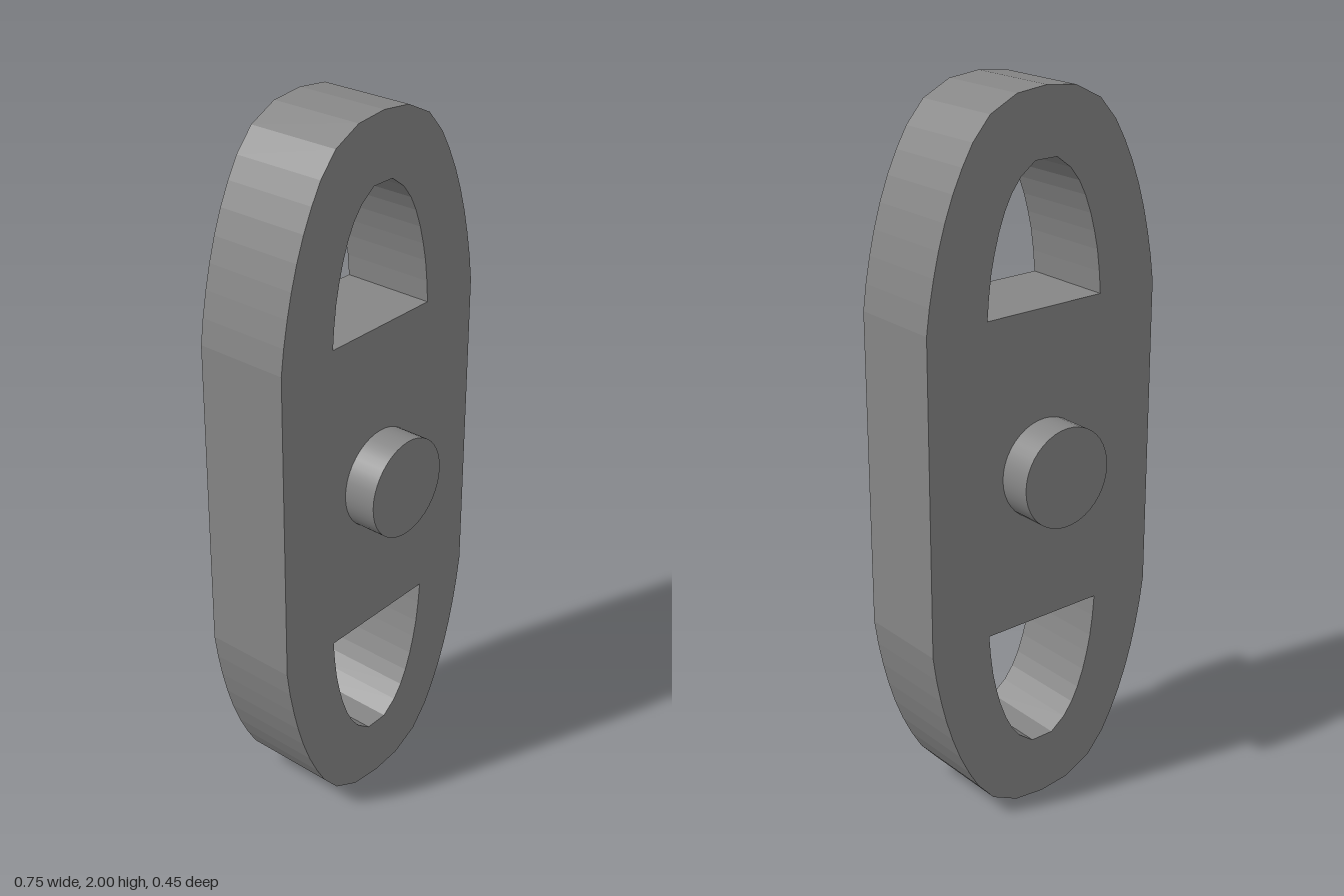
import * as THREE from 'three';

const HALF_DEPTH = 0.133;
const PIN_RADIUS = 0.139;
const PIN_END = 0.226;
const GREY = 0x868686;

// Right half of the arched ends, as [x, height above the middle]
const outerArc = [
  [0.374, 0.44], [0.364, 0.51], [0.35, 0.58], [0.334, 0.645], [0.314, 0.71],
  [0.289, 0.775], [0.26, 0.835], [0.228, 0.89], [0.175, 0.95], [0.093, 0.99],
];
const holeArc = [
  [0.187, 0.44], [0.182, 0.5], [0.174, 0.56], [0.163, 0.61], [0.149, 0.66],
  [0.13, 0.71], [0.109, 0.75], [0.08, 0.787], [0.035, 0.82],
];

const mirrorX = (arc) => arc.map(([x, y]) => [-x, y]).reverse();
const flipY = (points) => points.map(([x, y]) => [-x, -y]);
const toVectors = (points) => points.map(([x, y]) => new THREE.Vector2(x, y));

export function createModel() {
  const model = new THREE.Group();
  const flat = new THREE.MeshStandardMaterial({ color: GREY, flatShading: true });
  const smooth = new THREE.MeshStandardMaterial({ color: GREY });

  // Oblong link plate with an arched window at each end
  const topEdge = [...outerArc, [0, 1], ...mirrorX(outerArc)];
  const topHole = [...holeArc, ...mirrorX(holeArc)];
  const outline = new THREE.Shape(toVectors([...topEdge, ...flipY(topEdge)]));
  for (const hole of [topHole, flipY(topHole)]) {
    outline.holes.push(new THREE.Path(toVectors(hole)));
  }
  const plateGeometry = new THREE.ExtrudeGeometry(outline, { depth: 2 * HALF_DEPTH, bevelEnabled: false });
  plateGeometry.translate(0, 1, -HALF_DEPTH);
  const plate = new THREE.Mesh(plateGeometry, flat);
  plate.name = 'linkPlate';
  model.add(plate);

  // Round pivot boss on each face
  const length = PIN_END - HALF_DEPTH;
  for (const side of [1, -1]) {
    const geometry = new THREE.CylinderGeometry(PIN_RADIUS, PIN_RADIUS, length, 40);
    geometry.rotateX(side * Math.PI / 2);
    const boss = new THREE.Mesh(geometry, smooth);
    boss.position.set(0, 1, side * (HALF_DEPTH + length / 2));
    boss.name = side > 0 ? 'frontPivot' : 'backPivot';
    model.add(boss);
  }

  return model;
}
